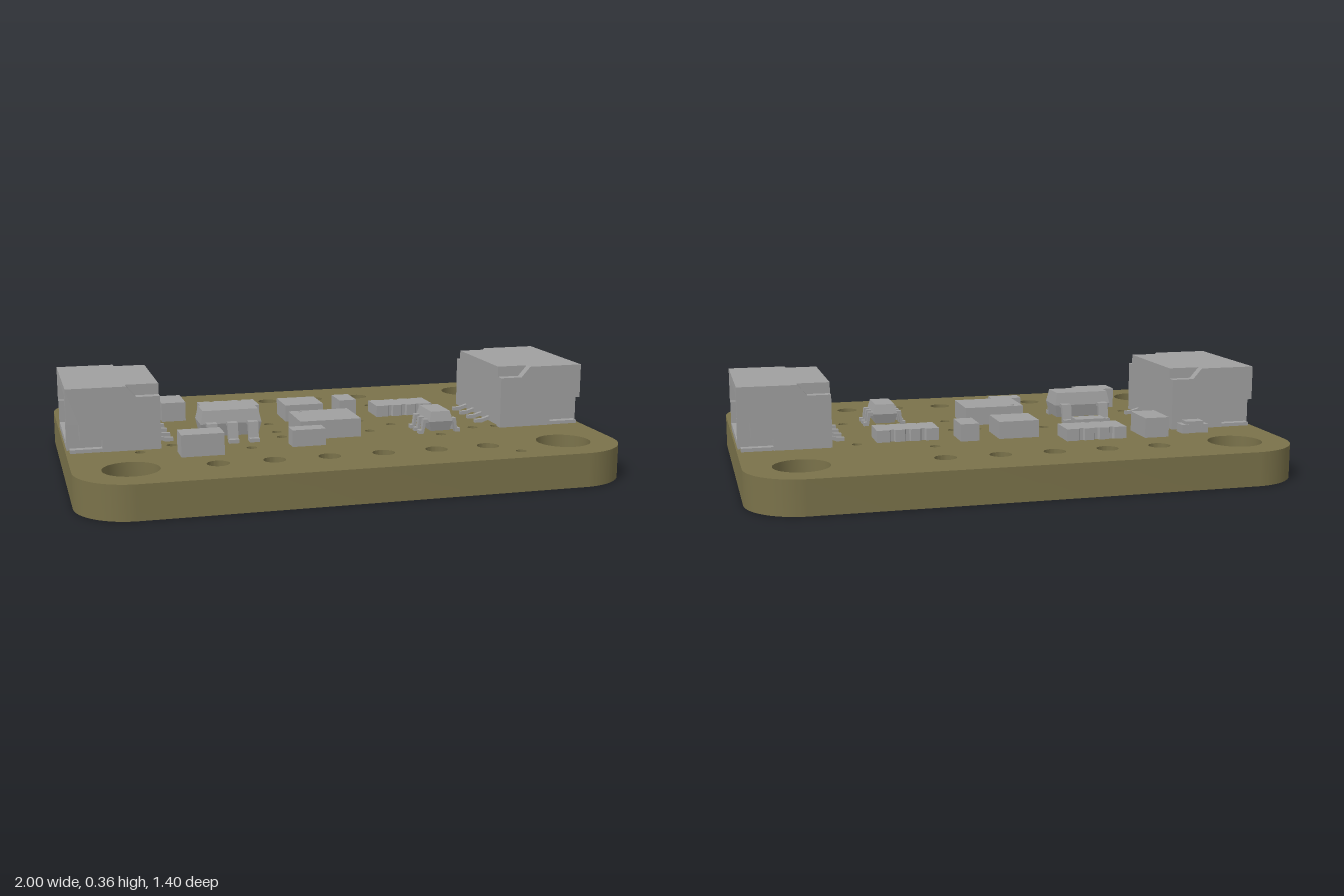
import * as THREE from 'three';
import { toCreasedNormals } from 'three/addons/utils/BufferGeometryUtils.js';

const TOP = 0.125; // upper face of the board

export function createModel() {
  const model = new THREE.Group();
  model.name = 'circuitBoard';
  const olive = new THREE.MeshStandardMaterial({ color: 0x7a724a });
  olive.name = 'olive board';
  const grey = new THREE.MeshStandardMaterial({ color: 0xa0a0a0 });
  grey.name = 'component grey';

  const add = (parent, name, geometry, material = grey) => {
    const mesh = new THREE.Mesh(geometry, material);
    mesh.name = name;
    parent.add(mesh);
    return mesh;
  };
  // Box given by its limits on each axis
  const box = (parent, name, x0, x1, y0, y1, z0, z1) => {
    const g = new THREE.BoxGeometry(x1 - x0, y1 - y0, z1 - z0);
    g.translate((x0 + x1) / 2, (y0 + y1) / 2, (z0 + z1) / 2);
    return add(parent, name, g);
  };
  const polygon = (points) => new THREE.Shape(points.map(([x, y]) => new THREE.Vector2(x, y)));
  const extrude = (shape, depth) =>
    new THREE.ExtrudeGeometry(shape, { depth, bevelEnabled: false, curveSegments: 20 });

  // Board with rounded corners, mounting holes, header holes and vias
  const W = 1, D = 0.7, R = 0.2;
  const outline = new THREE.Shape();
  outline.absarc(W - R, D - R, R, 0, Math.PI / 2);
  outline.absarc(-W + R, D - R, R, Math.PI / 2, Math.PI);
  outline.absarc(-W + R, -D + R, R, Math.PI, Math.PI * 1.5);
  outline.absarc(W - R, -D + R, R, Math.PI * 1.5, Math.PI * 2);
  const drill = (x, z, r) => {
    const hole = new THREE.Path();
    hole.absarc(x, -z, r, 0, Math.PI * 2, true);
    outline.holes.push(hole);
  };
  for (const x of [-0.8, 0.8]) for (const z of [-0.5, 0.5]) drill(x, z, 0.1);
  for (let i = 0; i < 6; i++) {
    drill(-0.5 + i * 0.2, 0.5, 0.04);
    if (i < 5) drill(-0.5 + i * 0.2, -0.5, 0.04);
  }
  const vias = [
    [0.295, -0.305], [0.565, -0.2], [-0.66, -0.195], [-0.195, -0.06], [-0.06, -0.01],
    [0.07, -0.03], [0.165, -0.025], [0.41, 0.025], [0.27, 0.065], [-0.195, 0.08],
    [-0.385, 0.04], [-0.195, 0.165], [0.155, 0.155], [-0.615, 0.19], [-0.74, 0.27],
    [-0.34, 0.305], [0.56, 0.2], [0.655, 0.2], [0.4, 0.28], [0.585, 0.605],
  ];
  vias.forEach(([x, z]) => drill(x, z, 0.019));
  const boardGeometry = extrude(outline, TOP).rotateX(-Math.PI / 2);
  add(model, 'board', toCreasedNormals(boardGeometry, 0.6), olive);

  // Side-entry connector, opening towards +x
  const connector = (name) => {
    const g = new THREE.Group();
    g.name = name;
    // Tunnel around the cavity: section in z and y, extruded along x
    const ring = polygon([[-0.2, 0.13], [0.2, 0.13], [0.2, 0.36], [-0.2, 0.36]]);
    ring.holes.push(polygon([
      [-0.175, 0.155], [-0.175, 0.24], [-0.194, 0.24], [-0.194, 0.29], [-0.175, 0.29], [-0.175, 0.33],
      [0.175, 0.33], [0.175, 0.29], [0.194, 0.29], [0.194, 0.24], [0.175, 0.24], [0.175, 0.155],
    ]));
    add(g, 'connectorShell', extrude(ring, 0.25).rotateY(Math.PI / 2).translate(0.745, 0, 0));
    box(g, 'connectorBackWall', 0.66, 0.745, 0.13, 0.36, -0.2, 0.2);
    // Stepped cheeks and solder tabs on both sides
    const cheek = polygon([
      [0.66, 0.125], [0.87, 0.125], [0.87, 0.17], [0.95, 0.17], [0.95, 0.23],
      [0.995, 0.23], [0.995, 0.36], [0.78, 0.36], [0.745, 0.32], [0.66, 0.32],
    ]);
    for (const z of [-0.235, 0.2]) {
      add(g, 'connectorCheek', extrude(cheek, 0.035).translate(0, 0, z));
      box(g, 'solderTab', 0.87, 0.985, TOP, 0.138, z + 0.003, z + 0.032);
    }
    // Contacts inside the cavity and tails behind it
    const tail = polygon([
      [0.6, 0.125], [0.63, 0.125], [0.67, 0.14], [0.67, 0.152], [0.63, 0.14], [0.6, 0.138],
    ]);
    for (let i = 0; i < 4; i++) {
      const z = -0.12 + i * 0.08;
      box(g, 'contact', 0.74, 0.92, 0.26, 0.296, z - 0.007, z + 0.007);
      add(g, 'contactTail', extrude(tail, 0.016).translate(0, 0, z - 0.008));
    }
    model.add(g);
    return g;
  };
  connector('leftConnector');
  connector('rightConnector').rotation.y = Math.PI;

  // Plain chips: x0, x1, z0, z1, top height
  const chips = [
    ['capacitor', -0.595, -0.5, -0.36, -0.21, 0.2],
    ['capacitor', -0.61, -0.455, 0.29, 0.385, 0.205],
    ['resistor', -0.42, -0.3, -0.145, -0.08, 0.165],
    ['sensor', -0.12, 0.035, -0.24, -0.09, 0.19],
    ['capacitor', 0.115, 0.185, -0.25, -0.13, 0.19],
    ['mainChip', -0.14, 0.095, 0.045, 0.235, 0.195],
    ['capacitor', -0.195, -0.07, 0.27, 0.335, 0.187],
  ];
  chips.forEach(([name, x0, x1, z0, z1, y]) => box(model, name, x0, x1, TOP, y, z0, z1));
  // Orientation dot on the main chip
  add(model, 'chipDot', new THREE.CylinderGeometry(0.007, 0.007, 0.004, 12).translate(-0.1, 0.196, 0.065));

  // Small two-ended part
  box(model, 'diodeBody', -0.755, -0.685, TOP, 0.17, -0.318, -0.272);
  box(model, 'diodeEnd', -0.773, -0.745, TOP, 0.158, -0.322, -0.268);
  box(model, 'diodeEnd', -0.695, -0.667, TOP, 0.158, -0.322, -0.268);

  // Resistor arrays with shallow notches along both long edges
  const resistorArray = (cx, cz) => {
    const pts = [];
    for (const s of [1, -1]) {
      pts.push([-0.117 * s, -0.06 * s]);
      for (const x of [-0.058, 0, 0.058]) {
        pts.push([(x - 0.011) * s, -0.06 * s], [(x - 0.006) * s, -0.05 * s],
          [(x + 0.006) * s, -0.05 * s], [(x + 0.011) * s, -0.06 * s]);
      }
      pts.push([0.117 * s, -0.06 * s]);
    }
    const g = extrude(polygon(pts), 0.045).rotateX(-Math.PI / 2);
    add(model, 'resistorArray', g.translate(cx, TOP, cz));
  };
  resistorArray(-0.314, -0.285);
  resistorArray(0.373, -0.135);

  // Leaded chip: long side along x, bent legs along z
  const leadedChip = (name, w, d, y0, y1, reach, legWidth, frontLegs, backLegs) => {
    const g = new THREE.Group();
    g.name = name;
    // Body widest at mid height, tapering to the top and bottom
    const mid = (y0 + y1) / 2, t = 0.01;
    const half = (bottom) => {
      const b = new THREE.BoxGeometry(w, bottom ? mid - y0 : y1 - mid, d);
      const p = b.attributes.position;
      for (let i = 0; i < p.count; i++) {
        if ((p.getY(i) < 0) === bottom) {
          p.setX(i, p.getX(i) - Math.sign(p.getX(i)) * t);
          p.setZ(i, p.getZ(i) - Math.sign(p.getZ(i)) * t);
        }
      }
      b.computeVertexNormals();
      return b.translate(0, bottom ? (y0 + mid) / 2 : (mid + y1) / 2, 0);
    };
    add(g, 'chipBodyLower', half(true));
    add(g, 'chipBodyUpper', half(false));
    const e = d / 2, k = 0.014;
    const profile = polygon([
      [e - 0.01, mid - k / 2], [e + reach * 0.25, mid - k / 2], [e + reach * 0.45, TOP],
      [e + reach, TOP], [e + reach, TOP + k], [e + reach * 0.65, TOP + k],
      [e + reach * 0.5, mid + k / 2], [e - 0.01, mid + k / 2],
    ]);
    const leg = (x, side) => {
      const geo = extrude(profile, legWidth).translate(0, 0, -legWidth / 2).rotateY(-Math.PI / 2);
      if (side < 0) geo.rotateY(Math.PI);
      add(g, 'leg', geo.translate(x, 0, 0));
    };
    frontLegs.forEach((x) => leg(x, 1));
    backLegs.forEach((x) => leg(x, -1));
    model.add(g);
    return g;
  };
  leadedChip('regulator', 0.23, 0.125, 0.14, 0.238, 0.06, 0.038, [-0.077, 0, 0.077], [-0.077, 0.077])
    .position.set(-0.388, 0, 0.103);
  const small = leadedChip('smallChip', 0.152, 0.095, 0.135, 0.21, 0.036, 0.022, [-0.05, 0, 0.05], [-0.05, 0, 0.05]);
  small.position.set(0.403, 0, 0.195);
  small.rotation.y = Math.PI / 2;

  return model;
}
